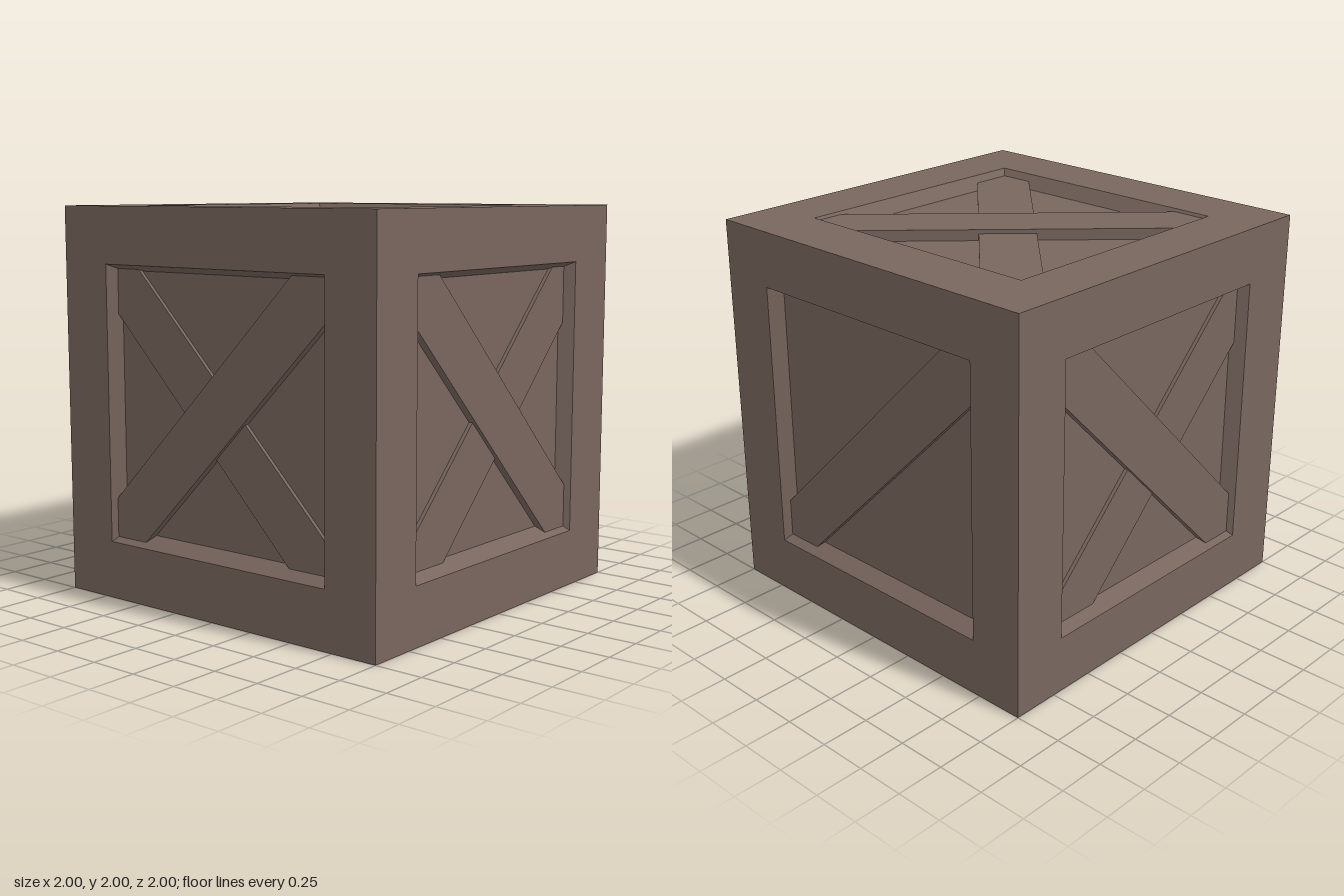
import * as THREE from 'three';

const wood = new THREE.MeshStandardMaterial({ color: 0x78665e });
wood.name = 'brown wood';

const PANEL_DEPTH = 0.07;

// Corners of a rectangle [left, bottom, right, top], counter-clockwise
const corners = ([l, b, r, t]) => [[l, b], [r, b], [r, t], [l, t]].map(([x, y]) => new THREE.Vector2(x, y));

// Rectangle part of the way down the sloping recess walls
const between = (outer, inner, k) => outer.map((v, i) => v + (inner[i] - v) * k);

// Keep the part of a convex polygon where a*x + b*y <= c
function clip(points, a, b, c) {
  const out = [];
  points.forEach((p, i) => {
    const q = points[(i + 1) % points.length];
    const dp = a * p.x + b * p.y - c;
    const dq = a * q.x + b * q.y - c;
    if (dp <= 0) out.push(p);
    if (dp * dq < 0) out.push(p.clone().lerp(q, dp / (dp - dq)));
  });
  return out;
}

function addMesh(group, name, geometry) {
  const mesh = new THREE.Mesh(geometry, wood);
  mesh.name = name;
  group.add(mesh);
  return mesh;
}

// Four sloping walls joining the frame opening to the sunken panel
function recessWalls(outer, inner) {
  const o = corners(outer), p = corners(inner);
  const positions = [];
  for (let i = 0; i < 4; i++) {
    const j = (i + 1) % 4;
    const a = [o[i].x, o[i].y, 0], b = [o[j].x, o[j].y, 0];
    const c = [p[j].x, p[j].y, -PANEL_DEPTH], d = [p[i].x, p[i].y, -PANEL_DEPTH];
    positions.push(...a, ...b, ...c, ...a, ...c, ...d);
  }
  const geometry = new THREE.BufferGeometry();
  geometry.setAttribute('position', new THREE.Float32BufferAttribute(positions, 3));
  geometry.computeVertexNormals();
  return geometry;
}

// Diagonal plank: slope -1 falls to the right, +1 rises to the right
function brace({ slope, low, high, level }, outer, inner) {
  let points = corners(between(outer, inner, level));
  points = clip(points, -slope, 1, high);
  points = clip(points, slope, -1, -low);
  const depth = PANEL_DEPTH * (1 - level);
  const geometry = new THREE.ExtrudeGeometry(new THREE.Shape(points), { depth, bevelEnabled: false });
  return geometry.translate(0, 0, -PANEL_DEPTH);
}

// One crate side, facing +z at a distance of 1 from the centre
function crateSide({ name, outer, inner, braces, rotation }) {
  const side = new THREE.Group();
  side.name = name;
  const frame = new THREE.Shape(corners([-1, -1, 1, 1]));
  frame.holes.push(new THREE.Path(corners(outer).reverse()));
  addMesh(side, 'frame', new THREE.ShapeGeometry(frame));
  addMesh(side, 'recessWalls', recessWalls(outer, inner));
  addMesh(side, 'panel', new THREE.ShapeGeometry(new THREE.Shape(corners(inner)))).position.z = -PANEL_DEPTH;
  braces.forEach((b, i) => addMesh(side, i ? 'lowerBrace' : 'upperBrace', brace(b, outer, inner)));
  side.children.forEach((m) => { m.position.z += 1; });
  side.rotation.set(...rotation);
  return side;
}

export function createModel() {
  const crate = new THREE.Group();
  crate.name = 'crate';
  const H = Math.PI / 2;

  // Openings and panels as [left, bottom, right, top]
  const frontOuter = [-0.7, -0.705, 0.682, 0.712], frontInner = [-0.652, -0.648, 0.636, 0.679];
  const sideOuter = [-0.702, -0.705, 0.71, 0.712], sideInner = [-0.658, -0.648, 0.66, 0.681];
  const topOuter = [-0.698, -0.698, 0.68, 0.714], topInner = [-0.648, -0.65, 0.628, 0.66];

  const cross = [
    { slope: -1, low: -0.203, high: 0.205, level: 0.42 },
    { slope: 1, low: -0.25, high: 0.155, level: 0.72 },
  ];
  const topCross = [
    { slope: -1, low: -0.175, high: 0.236, level: 0.2 },
    { slope: 1, low: -0.22, high: 0.185, level: 0.5 },
  ];
  const rising = { slope: 1, low: -0.2, high: 0.204, level: 0.55 };
  const sideCross = [{ ...rising, level: 0.42 }, { slope: -1, low: -0.21, high: 0.17, level: 0.72 }];

  const sides = [
    { name: 'frontSide', outer: frontOuter, inner: frontInner, braces: cross, rotation: [0, 0, 0] },
    { name: 'backSide', outer: frontOuter, inner: frontInner, braces: cross, rotation: [0, Math.PI, 0] },
    { name: 'leftSide', outer: sideOuter, inner: sideInner, braces: [rising], rotation: [0, H, 0] },
    { name: 'rightSide', outer: sideOuter, inner: sideInner, braces: sideCross, rotation: [0, -H, 0] },
    { name: 'topSide', outer: topOuter, inner: topInner, braces: topCross, rotation: [-H, 0, 0] },
    { name: 'bottomSide', outer: topOuter, inner: topInner, braces: topCross, rotation: [H, 0, 0] },
  ];
  sides.forEach((s) => {
    const side = crateSide(s);
    side.position.y = 1;
    crate.add(side);
  });
  return crate;
}
